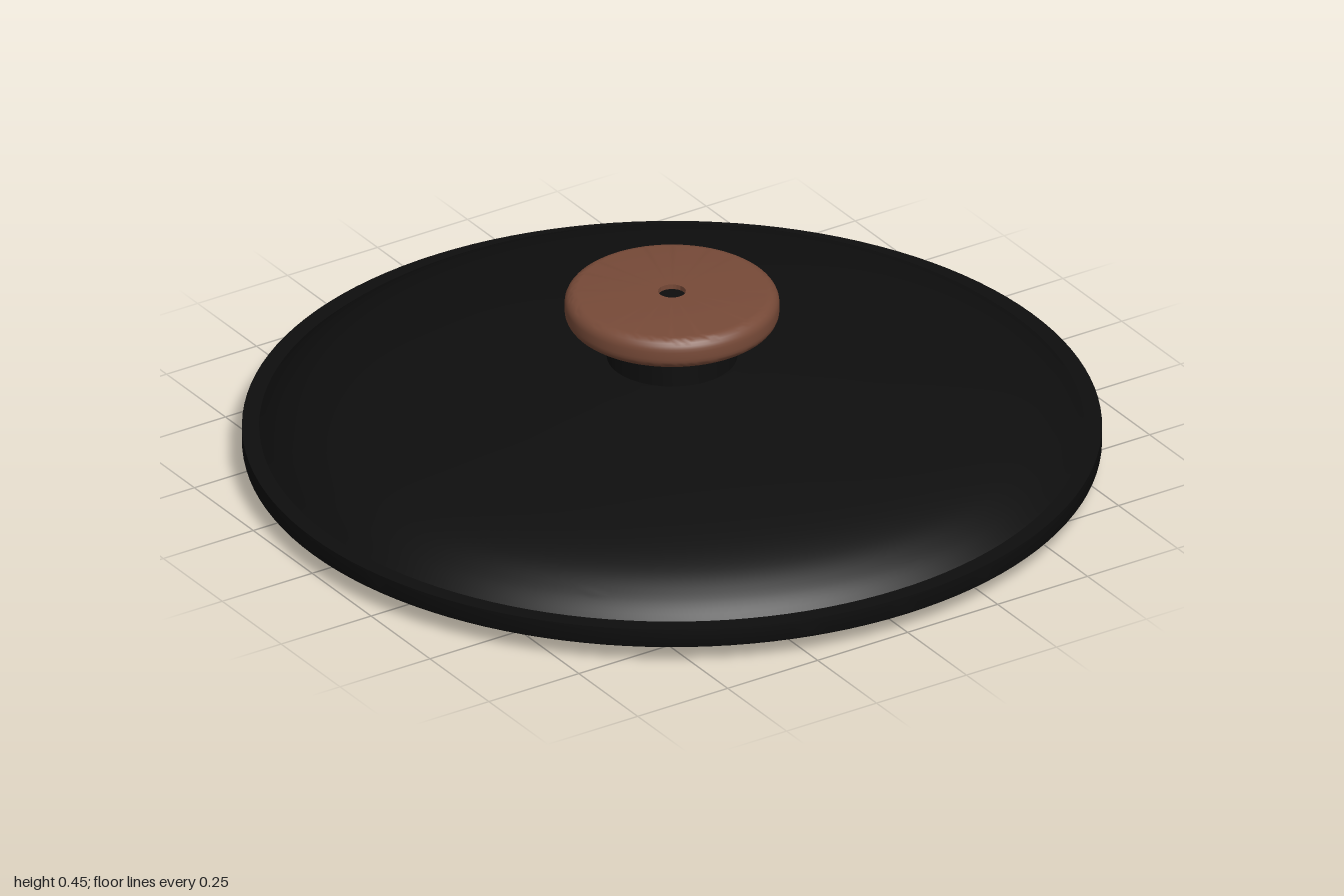
import * as THREE from 'three';
import { toCreasedNormals } from 'three/addons/utils/BufferGeometryUtils.js';

const black = new THREE.MeshStandardMaterial({ color: 0x0e0e0e });
black.name = 'blackEnamel';
const brown = new THREE.MeshStandardMaterial({ color: 0x774a38 });
brown.name = 'brownWood';

// Points of a rounded corner, running from angle a to angle b (degrees)
function corner(cx, cy, r, a, b, steps = 6) {
  return Array.from({ length: steps + 1 }, (_, i) => {
    const t = THREE.MathUtils.degToRad(a + ((b - a) * i) / steps);
    return [cx + r * Math.cos(t), cy + r * Math.sin(t)];
  });
}

// Turned part; the profile runs from the bottom centre outwards and up
function turned(name, profile, material) {
  const points = profile.map(([x, y]) => new THREE.Vector2(x, y));
  const geometry = toCreasedNormals(new THREE.LatheGeometry(points, 128), 0.6);
  const mesh = new THREE.Mesh(geometry, material);
  mesh.name = name;
  return mesh;
}

export function createModel() {
  const lid = new THREE.Group();
  lid.name = 'potLid';

  // Domed upper surface, from the flange to the stem
  const dome = new THREE.SplineCurve([
    [0.96, 0.095], [0.915, 0.132], [0.845, 0.17], [0.74, 0.202],
    [0.58, 0.232], [0.4, 0.256], [0.25, 0.272], [0.15, 0.28],
  ].map(([x, y]) => new THREE.Vector2(x, y))).getPoints(36).map((p) => [p.x, p.y]);

  // Closed underside, inset skirt, flange and dome
  lid.add(turned('lidBody', [
    [0, 0], [0.6, 0.002], [0.82, 0.006],
    ...corner(0.89, 0.027, 0.02, -90, 0),
    [0.91, 0.045],
    ...corner(0.99, 0.055, 0.01, -90, 0, 4),
    [1, 0.095],
    ...dome,
    [0, 0.282],
  ], black));

  // Neck carrying the knob
  lid.add(turned('knobStem', [[0, 0.27], [0.152, 0.27], [0.152, 0.38], [0, 0.38]], black));

  // Rounded knob with a shallow recess in the middle
  lid.add(turned('knob', [
    [0, 0.372], [0.15, 0.372],
    ...corner(0.22, 0.402, 0.03, -90, 0),
    ...corner(0.22, 0.42, 0.03, 0, 90),
    [0.032, 0.45], [0.032, 0.43], [0, 0.43],
  ], brown));

  // Screw head sunk into the knob
  const screw = new THREE.Mesh(new THREE.CylinderGeometry(0.032, 0.032, 0.008, 32), black);
  screw.name = 'knobScrew';
  screw.position.y = 0.434;
  lid.add(screw);

  return lid;
}
